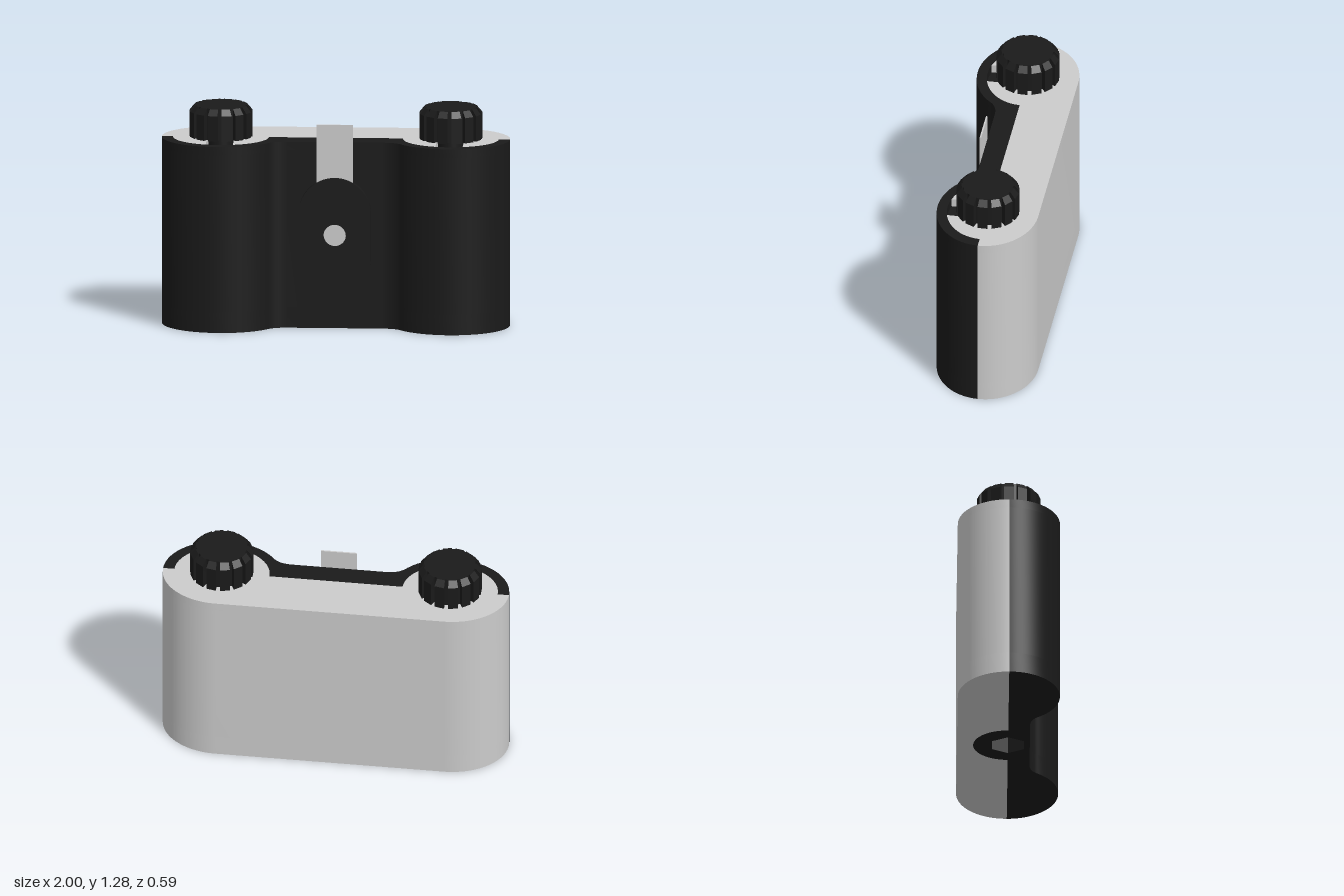
import * as THREE from 'three';
import { toCreasedNormals } from 'three/addons/utils/BufferGeometryUtils.js';

const PI = Math.PI;
const LOBE_X = 0.66, LOBE_RX = 0.34, LOBE_RZ = 0.293; // rounded film chambers
const DISC_RX = 0.275, DISC_RZ = 0.235;               // lid discs under the knobs
const TOP = 1.09, LID = 1.04, BASE = 0.12;            // layer heights
const MOUNT_R = 0.2;

// Plan outline of the front shell; rearEdge draws the joint from -x to +x
function frontShape(rearEdge) {
  const s = new THREE.Shape();
  const a = 145 * PI / 180;
  s.moveTo(1, 0);
  s.absellipse(LOBE_X, 0, LOBE_RX, LOBE_RZ, 0, a, false);
  s.quadraticCurveTo(0.345, 0.125, 0.27, 0.125);
  s.lineTo(-0.27, 0.125);
  s.quadraticCurveTo(-0.345, 0.125, -LOBE_X - LOBE_RX * Math.cos(a), LOBE_RZ * Math.sin(a));
  s.absellipse(-LOBE_X, 0, LOBE_RX, LOBE_RZ, PI - a, PI, false);
  if (rearEdge) rearEdge(s);
  return s;
}

// Plan outline of the back shell; frontEdge draws the joint from +x to -x
function backShape(frontEdge) {
  const s = new THREE.Shape();
  s.moveTo(-1, 0);
  s.absellipse(-LOBE_X, 0, LOBE_RX, LOBE_RZ, PI, 1.5 * PI, false);
  s.lineTo(LOBE_X, -LOBE_RZ);
  s.absellipse(LOBE_X, 0, LOBE_RX, LOBE_RZ, 1.5 * PI, 2 * PI, false);
  if (frontEdge) frontEdge(s);
  return s;
}

// Extrude an (x, z) plan shape between two heights
function slab(shape, y0, y1) {
  const g = new THREE.ExtrudeGeometry(shape, { depth: y1 - y0, bevelEnabled: false, curveSegments: 24 });
  g.rotateX(PI / 2).translate(0, y1, 0);
  return toCreasedNormals(g, 0.4);
}

// Fluted knob with a chamfered top edge
function knobGeometry() {
  const n = 14, r = 0.182, inner = 0.145, w = 0.012, pts = [];
  for (let i = 0; i < n; i++) {
    const a = PI / 2 + i * 2 * PI / n, c = Math.cos(a), s = Math.sin(a);
    for (const [d, t] of [[r, -w], [inner, -w], [inner, w], [r, w]])
      pts.push(new THREE.Vector2(c * d - s * t, s * d + c * t));
  }
  const h = 0.183;
  const g = new THREE.ExtrudeGeometry(new THREE.Shape(pts), { depth: h, steps: 2, bevelEnabled: false });
  const p = g.attributes.position;
  for (let i = 0; i < p.count; i++) {
    const x = p.getX(i), y = p.getY(i), z = p.getZ(i);
    if (z > 0.9 * h) {
      const k = Math.min(1, 0.153 / Math.hypot(x, y));
      p.setXY(i, x * k, y * k);
    } else if (z > 0.1 * h) p.setZ(i, h - 0.035);
  }
  g.rotateX(-PI / 2);
  return toCreasedNormals(g, 0.2);
}

export function createModel() {
  const model = new THREE.Group();
  model.name = 'pinholeCamera';
  const grey = new THREE.MeshStandardMaterial({ color: 0xcccccc });
  const black = new THREE.MeshStandardMaterial({ color: 0x1a1a1a });
  const add = (parent, name, geometry, material) => {
    const m = new THREE.Mesh(geometry, material);
    m.name = name;
    parent.add(m);
    return m;
  };

  // Front shell: base with tripod boss, plain middle, rim around the lid discs
  const front = new THREE.Group();
  front.name = 'frontShell';
  const base = frontShape(s => {
    s.lineTo(-MOUNT_R, 0);
    s.absarc(0, 0, MOUNT_R, PI, 2 * PI, false);
  });
  const hex = [];
  for (let i = 0; i < 6; i++)
    hex.push(new THREE.Vector2(0.107 * Math.cos(i * PI / 3), 0.107 * Math.sin(i * PI / 3)));
  base.holes.push(new THREE.Path(hex));
  add(front, 'frontBase', slab(base, 0, BASE), black);
  add(front, 'frontWall', slab(frontShape(), BASE, LID), black);
  add(front, 'frontRim', slab(frontShape(s => {
    for (const x of [-LOBE_X, LOBE_X]) {
      s.lineTo(x - DISC_RX, 0);
      s.absellipse(x, 0, DISC_RX, DISC_RZ, PI, 0, true);
    }
  }), LID, TOP), black);
  const socket = add(front, 'tripodSocketFloor', new THREE.CylinderGeometry(0.12, 0.12, 0.01, 24), black);
  socket.position.y = BASE - 0.003;
  model.add(front);

  // Back shell: base notched for the boss, plain middle, lid with slotted discs
  const back = new THREE.Group();
  back.name = 'backShell';
  add(back, 'backBase', slab(backShape(s => {
    s.lineTo(MOUNT_R, 0);
    s.absarc(0, 0, MOUNT_R, 0, PI, true);
  }), 0, BASE), grey);
  add(back, 'backWall', slab(backShape(), BASE, LID), grey);
  const slot = 0.078, slotAngle = Math.acos(slot / DISC_RX);
  add(back, 'lid', slab(backShape(s => {
    for (const x of [LOBE_X, -LOBE_X]) {
      s.lineTo(x + DISC_RX, 0);
      s.absellipse(x, 0, DISC_RX, DISC_RZ, 0, slotAngle, false);
      s.lineTo(x + slot, 0.02);
      s.lineTo(x - slot, 0.02);
      s.absellipse(x, 0, DISC_RX, DISC_RZ, PI - slotAngle, PI, false);
    }
  }), LID, TOP), grey);
  model.add(back);

  // Winding knobs on short shafts
  const knobGeo = knobGeometry();
  for (const side of [-1, 1]) {
    const knob = new THREE.Group();
    knob.name = side > 0 ? 'leftKnob' : 'rightKnob';
    add(knob, 'knobGrip', knobGeo, black).position.y = 1.097;
    add(knob, 'knobShaft', new THREE.CylinderGeometry(0.075, 0.075, 0.08, 32), black).position.y = 1.07;
    knob.position.x = side * LOBE_X;
    model.add(knob);
  }

  // Oblong shutter plate with the pinhole opening
  const plate = new THREE.Shape();
  const pr = 0.207, pTop = 0.885 - pr, pBottom = 0.21 + pr;
  plate.absarc(0, pTop, pr, 0, PI, false);
  plate.absarc(0, pBottom, pr, PI, 2 * PI, false);
  plate.closePath();
  plate.holes.push(new THREE.Path().absarc(0, 0.55, 0.064, 0, 2 * PI, true));
  const plateGeo = new THREE.ExtrudeGeometry(plate, { depth: 0.04, bevelEnabled: false, curveSegments: 24 });
  add(model, 'shutterPlate', toCreasedNormals(plateGeo, 0.4), black).position.z = 0.125;

  // Sliding shutter strip
  add(model, 'shutterSlide', new THREE.BoxGeometry(0.208, 0.845, 0.009), grey).position.set(0, 0.773, 0.142);

  return model;
}
